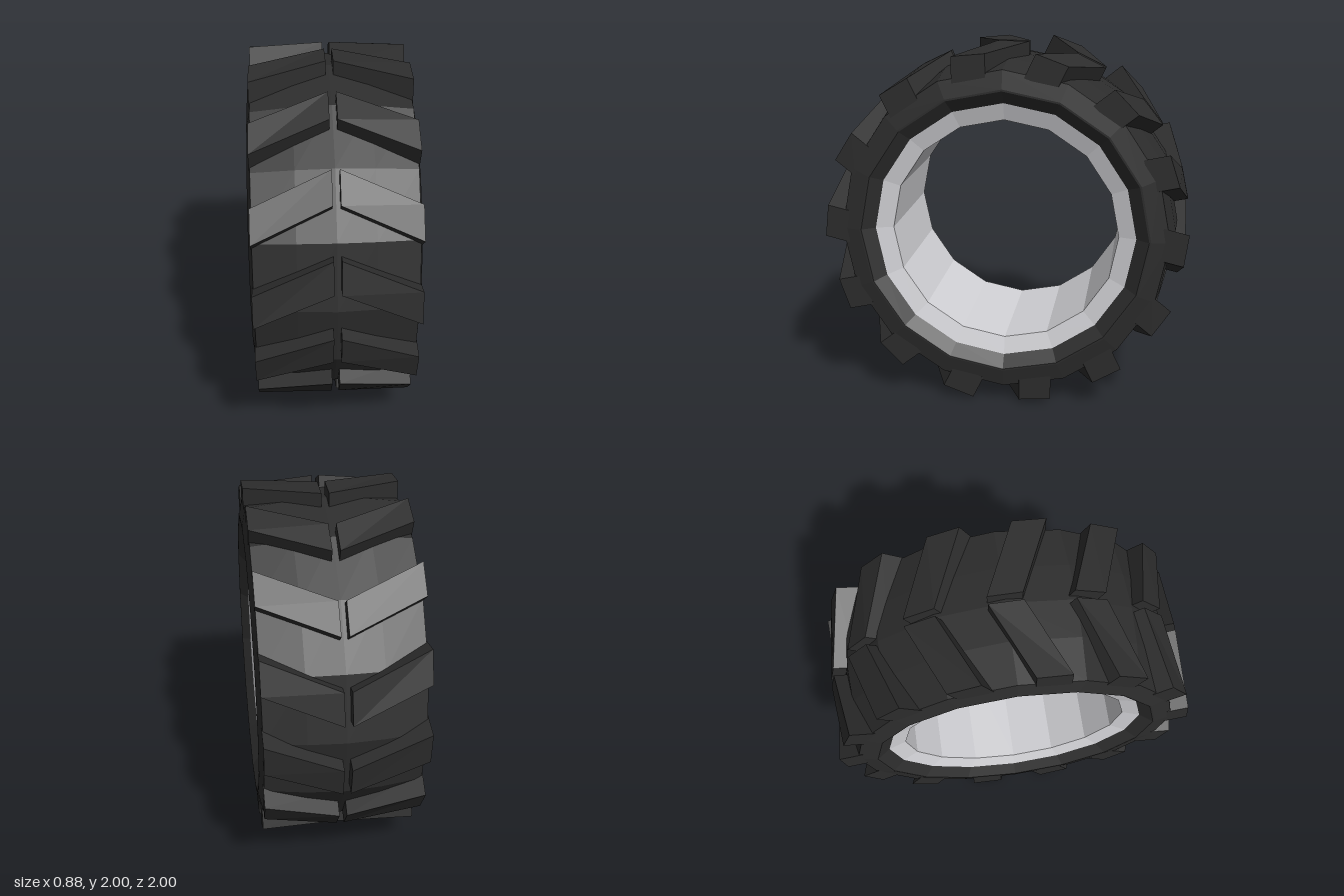
import * as THREE from 'three';

export function createModel() {
  const model = new THREE.Group();
  model.name = 'tractorWheel';
  const rubber = new THREE.MeshStandardMaterial({ color: 0x2d2d2d, flatShading: true });
  rubber.name = 'black rubber';
  const metal = new THREE.MeshStandardMaterial({ color: 0xd2d2d6, flatShading: true });
  metal.name = 'pale metal';

  const wheel = new THREE.Group();
  wheel.name = 'wheel';
  wheel.position.y = 1;
  model.add(wheel);

  // Sixteen-sided ring around the x axis from [radius, x] pairs
  const ring = (name, points, material) => {
    const geo = new THREE.LatheGeometry(points.map(([r, x]) => new THREE.Vector2(r, x)), 16);
    geo.rotateZ(-Math.PI / 2);
    const mesh = new THREE.Mesh(geo, material);
    mesh.name = name;
    wheel.add(mesh);
  };

  // Tyre body: inner bevel, sidewall, shoulder and gently crowned tread
  const half = [[0.72, -0.39], [0.79, -0.44], [0.8, -0.44], [0.9, -0.42], [0.93, -0.2]];
  const mirrored = half.map(([r, x]) => [r, -x]).reverse();
  ring('tyreBody', [...half, [0.942, 0], ...mirrored], rubber);

  // Open rim with sloping lips
  ring('rim', [[0.72, 0.39], [0.625, 0.36], [0.625, -0.36], [0.72, -0.39]], metal);

  // Tread lug: a block swept back and dropped towards its outer end
  const inner = 0.02, length = 0.405, width = 0.18, height = 0.14;
  const lugGeometry = (side) => {
    const geo = new THREE.BoxGeometry(length, height, width);
    geo.translate(side * (inner + length / 2), 1 - height / 2, 0);
    const p = geo.attributes.position;
    for (let i = 0; i < p.count; i++) {
      const t = (Math.abs(p.getX(i)) - inner) / length;
      const z = p.getZ(i);
      p.setY(i, p.getY(i) - t * (0.028 + 0.1 * z));
      p.setZ(i, z + t * width);
    }
    geo.computeVertexNormals();
    return geo;
  };

  // Fourteen chevrons, each a mirrored pair of lugs
  const lugs = [[1, 'leftLug'], [-1, 'rightLug']].map(([side, name]) => [lugGeometry(side), name]);
  for (let i = 0; i < 14; i++) {
    const chevron = new THREE.Group();
    chevron.name = 'treadChevron';
    chevron.rotation.x = (i / 14) * Math.PI * 2;
    for (const [geo, name] of lugs) {
      const lug = new THREE.Mesh(geo, rubber);
      lug.name = name;
      chevron.add(lug);
    }
    wheel.add(chevron);
  }
  return model;
}
